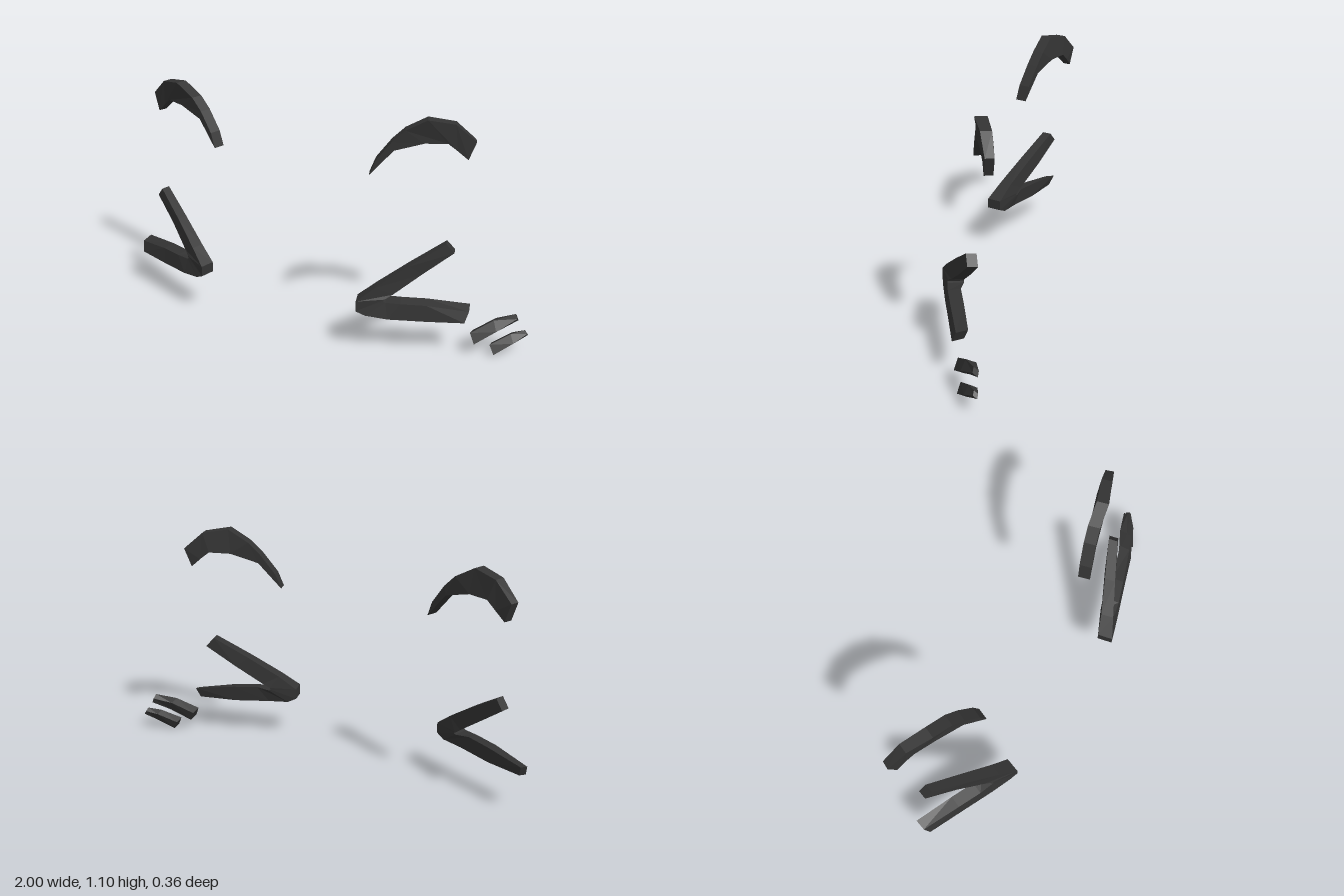
import * as THREE from 'three';

const material = new THREE.MeshStandardMaterial({ color: 0x333333, flatShading: true });
const MIRROR_X = -0.12; // plane between the two eyes

// Solid ribbon. Each section: outer front corner, inner front corner, step to the back.
function ribbon(name, sections, mirrored = false) {
  const pos = [], index = [];
  for (const [o, i, d] of sections) {
    const back = (p) => p.map((v, k) => v + d[k]);
    for (const [x, y, z] of [o, i, back(i), back(o)]) {
      pos.push(mirrored ? 2 * MIRROR_X - x : x, y, z);
    }
  }
  const quad = (a, b, c, d) => {
    if (mirrored) index.push(a, c, b, a, d, c);
    else index.push(a, b, c, a, c, d);
  };
  const last = (sections.length - 1) * 4;
  for (let s = 0; s < last; s += 4) {
    for (let k = 0; k < 4; k++) {
      const n = (k + 1) % 4;
      quad(s + k, s + n, s + 4 + n, s + 4 + k);
    }
  }
  quad(3, 2, 1, 0); // end caps
  quad(last, last + 1, last + 2, last + 3);

  const geometry = new THREE.BufferGeometry();
  geometry.setAttribute('position', new THREE.Float32BufferAttribute(pos, 3));
  geometry.setIndex(index);
  const flat = geometry.toNonIndexed();
  flat.computeVertexNormals();
  const mesh = new THREE.Mesh(flat, material);
  mesh.name = name;
  return mesh;
}

// Arched eyebrow, from the inner tip outwards
const b = [-0.018, 0, -0.052], bEnd = [-0.015, 0, -0.036];
const brow = [
  [[0.30, 0.90, 0.022], [0.275, 0.832, 0.033], b],
  [[0.365, 0.99, -0.003], [0.375, 0.95, -0.006], b],
  [[0.42, 1.045, -0.02], [0.50, 0.988, -0.05], b],
  [[0.515, 1.10, -0.04], [0.595, 0.99, -0.088], b],
  [[0.625, 1.08, -0.095], [0.635, 0.955, -0.107], [-0.015, 0, -0.046]],
  [[0.71, 1.0, -0.137], [0.68, 0.915, -0.124], bEnd],
];

// Squinting eye, from the lower outer tip round the point to the upper tip
const e = [-0.018, 0.008, -0.055], v = [-0.02, 0, -0.07];
const eye = [
  [[0.745, 0.177, 0.0], [0.757, 0.228, -0.022], [-0.012, 0.015, -0.05]],
  [[0.58, 0.178, 0.065], [0.58, 0.255, 0.055], e],
  [[0.42, 0.184, 0.13], [0.47, 0.26, 0.10], e],
  [[0.325, 0.20, 0.167], [0.405, 0.262, 0.12], v],
  [[0.285, 0.22, 0.182], [0.395, 0.266, 0.124], v],
  [[0.285, 0.27, 0.182], [0.40, 0.277, 0.12], v],
  [[0.36, 0.335, 0.135], [0.43, 0.297, 0.095], [-0.018, 0, -0.058]],
  [[0.487, 0.434, 0.055], [0.54, 0.39, 0.022], [-0.014, 0, -0.05]],
  [[0.63, 0.537, -0.032], [0.665, 0.493, -0.048], [-0.012, 0, -0.043]],
];

// Short curved strokes on the left cheek
const m0 = [-0.002, -0.01, -0.05], m1 = [-0.002, -0.01, -0.045], m2 = [0, -0.017, -0.022];
const strokes = [
  [
    [[0.765, 0.115, -0.032], [0.79, 0.067, -0.02], m0],
    [[0.855, 0.172, -0.092], [0.875, 0.125, -0.075], m1],
    [[0.94, 0.197, -0.15], [0.95, 0.174, -0.148], m2],
  ],
  [
    [[0.85, 0.055, -0.068], [0.875, 0.012, -0.058], [-0.002, -0.01, -0.042]],
    [[0.93, 0.102, -0.125], [0.95, 0.064, -0.11], [-0.002, -0.01, -0.037]],
    [[0.985, 0.117, -0.163], [0.998, 0.1, -0.162], [0, -0.014, -0.018]],
  ],
];

export function createModel() {
  const model = new THREE.Group();
  model.name = 'faceMarks';
  for (const [side, mirrored] of [['left', false], ['right', true]]) {
    model.add(ribbon(side + 'Eyebrow', brow, mirrored));
    model.add(ribbon(side + 'Eye', eye, mirrored));
  }
  const names = ['upperCheekStroke', 'lowerCheekStroke'];
  strokes.forEach((s, i) => model.add(ribbon(names[i], s)));
  return model;
}
